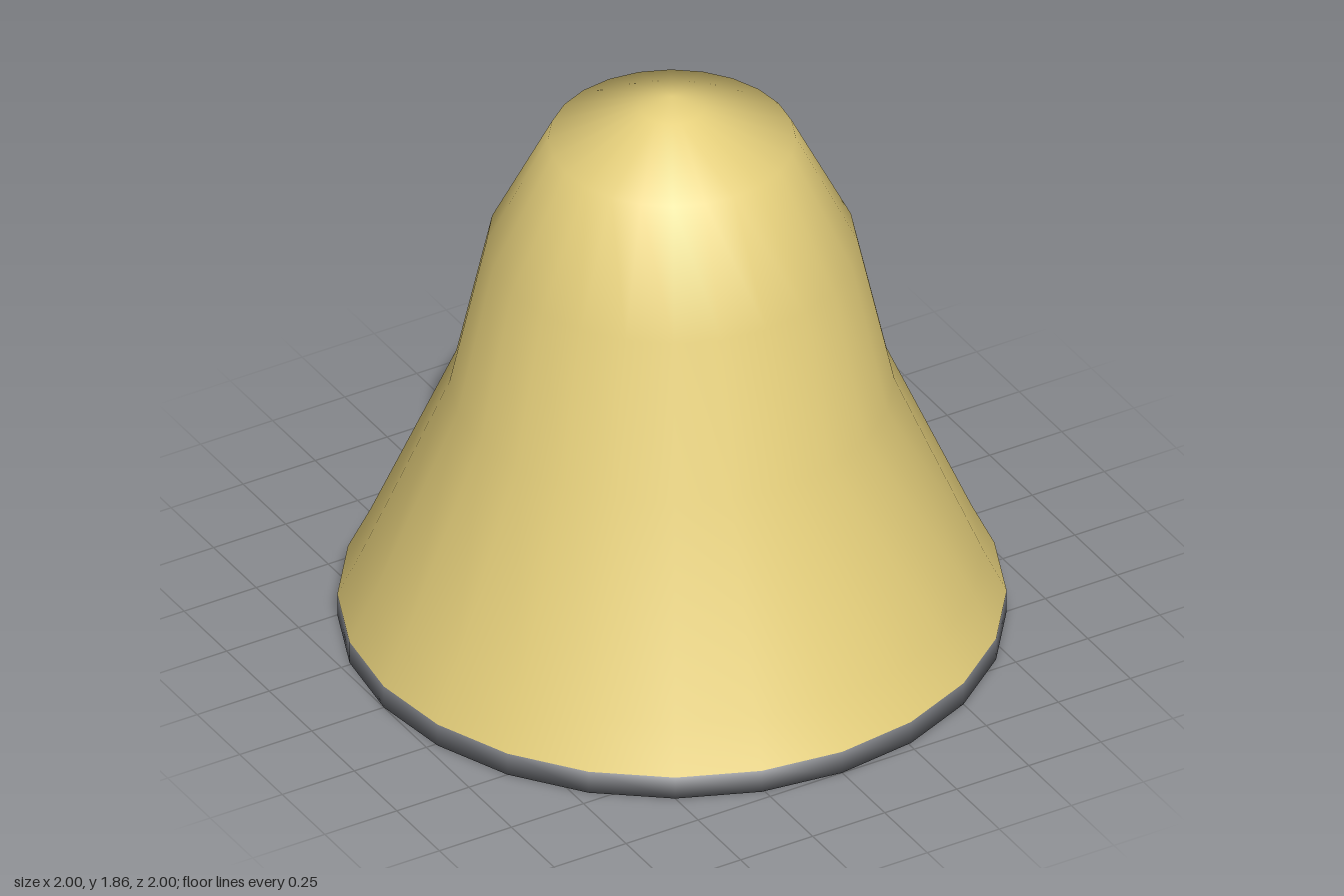
import * as THREE from 'three';
import { mergeVertices } from 'three/addons/utils/BufferGeometryUtils.js';

const brass = new THREE.MeshStandardMaterial({ name: 'brass', color: 0xe6d07c, side: THREE.DoubleSide });
const darkGrey = new THREE.MeshStandardMaterial({ name: 'darkGrey', color: 0x707277 });

// Turned part from [radius, height] pairs, welded so it shades smoothly all round
function turned(name, profile, material) {
  const points = profile.map(([r, y]) => new THREE.Vector2(r, y));
  const lathe = new THREE.LatheGeometry(points, 24);
  lathe.deleteAttribute('uv');
  lathe.deleteAttribute('normal');
  const geometry = mergeVertices(lathe, 1e-4);
  geometry.computeVertexNormals();
  const mesh = new THREE.Mesh(geometry, material);
  mesh.name = name;
  return mesh;
}

export function createModel() {
  const bell = new THREE.Group();
  bell.name = 'bell';

  // Thin flared shell with a shallow pointed crown, open at the bottom
  bell.add(turned('shell', [
    [1, 0.075], [0.93, 0.22], [0.665, 0.835], [0.555, 1.335],
    [0.37, 1.705], [0.1, 1.82], [0, 1.855],
  ], brass));

  // Closed lip ring: inner slope, underside, outer band, hidden top
  bell.add(turned('rim', [
    [0.85, 0.15], [0.93, 0], [1, 0], [1, 0.075], [0.85, 0.15],
  ], darkGrey));

  // Short clapper in the mouth of the bell
  const clapper = new THREE.Mesh(new THREE.CylinderGeometry(0.19, 0.19, 0.13, 12), darkGrey);
  clapper.name = 'clapper';
  clapper.position.y = 0.065;
  bell.add(clapper);

  return bell;
}
